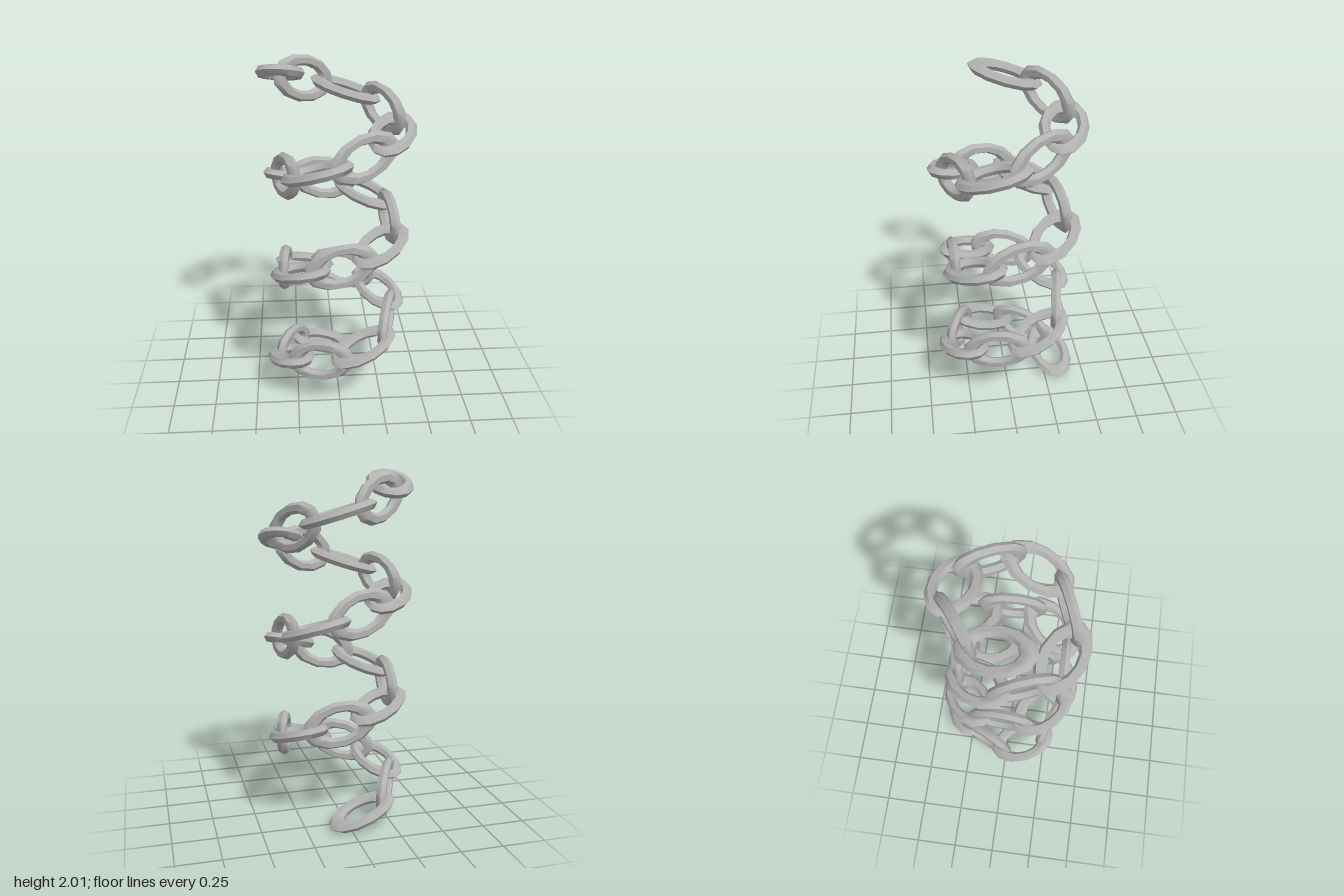
import * as THREE from 'three';
import { toCreasedNormals } from 'three/addons/utils/BufferGeometryUtils.js';

const LINKS = 25;
const RADIUS = 0.308;                            // helix radius
const START = THREE.MathUtils.degToRad(187);     // angle of the top link
const STEP = THREE.MathUtils.degToRad(47.85);    // turn from link to link
const TOP = 1.926, BOTTOM = 0.073;

// One oval link: a low-poly ring stretched along its length (x)
function makeLinkGeometry() {
  const ring = new THREE.TorusGeometry(0.103, 0.031, 6, 12);
  ring.scale(1.62, 1, 1);
  return toCreasedNormals(ring, 0.9);
}

export function createModel() {
  const chain = new THREE.Group();
  chain.name = 'spiralChain';
  const steel = new THREE.MeshStandardMaterial({ color: 0xb2b2b2 });
  steel.name = 'steelGrey';
  const geometry = makeLinkGeometry();
  const drop = (TOP - BOTTOM) / (LINKS - 1);

  // Links follow a descending helix, alternately lying flat and standing upright
  for (let i = 0; i < LINKS; i++) {
    const a = START + i * STEP;
    const radial = new THREE.Vector3(Math.cos(a), 0, Math.sin(a));
    const tangent = new THREE.Vector3(
      -Math.sin(a) * RADIUS * STEP, -drop, Math.cos(a) * RADIUS * STEP).normalize();
    const upright = i % 2 === 1;
    const across = upright ? new THREE.Vector3().crossVectors(tangent, radial) : radial;
    const normal = new THREE.Vector3().crossVectors(tangent, across);

    const link = new THREE.Mesh(geometry, steel);
    link.name = upright ? 'uprightLink' : 'flatLink';
    link.quaternion.setFromRotationMatrix(
      new THREE.Matrix4().makeBasis(tangent, across, normal));
    link.position.copy(radial).multiplyScalar(RADIUS);
    link.position.y = TOP - i * drop;
    chain.add(link);
  }
  return chain;
}
